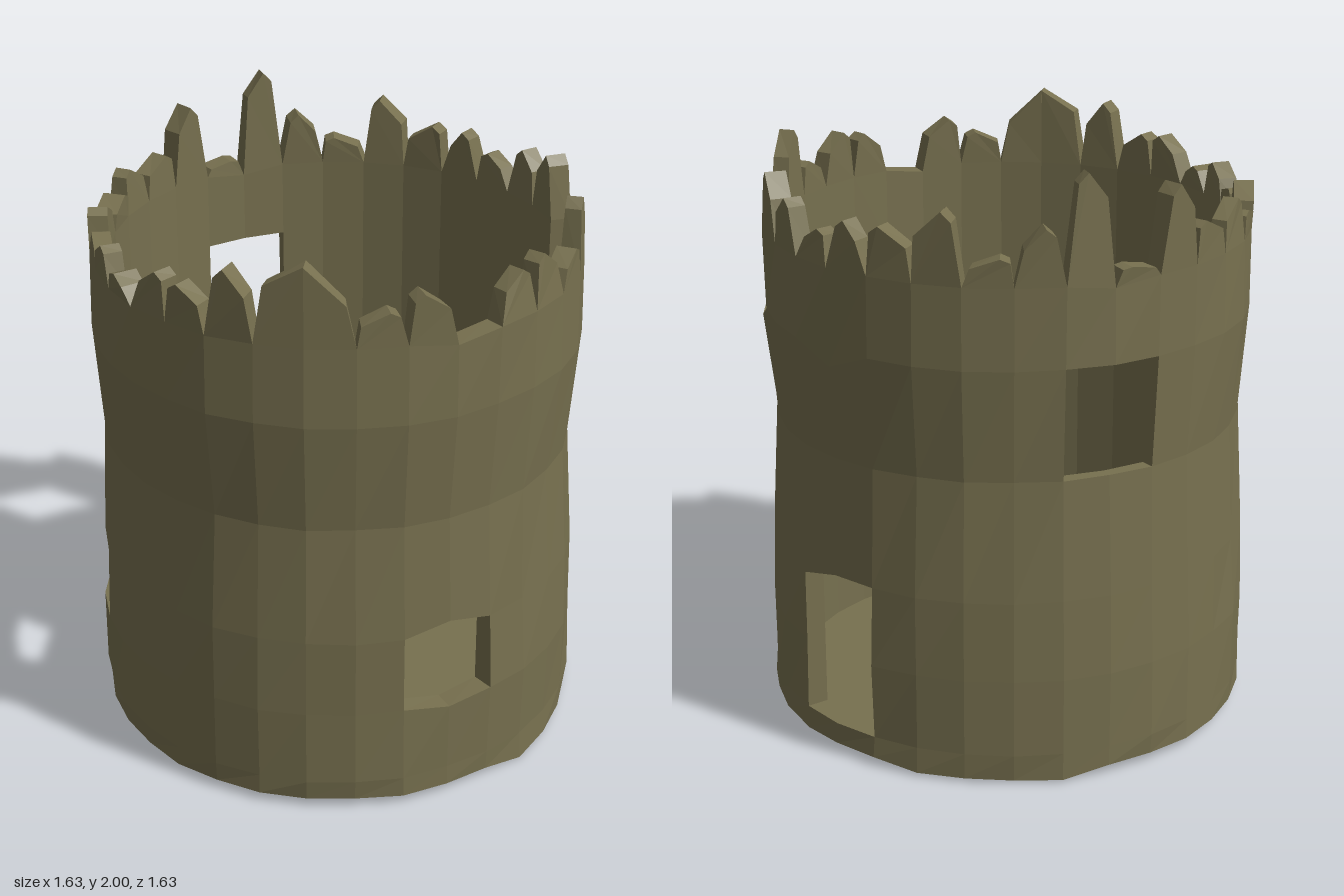
import * as THREE from 'three';

const SEG = 32, STEP = (Math.PI * 2) / SEG;
const ROW_Y = [0.03, 0.1, 0.36, 0.63, 1.03, 1.4, 1.66];
const ROW_R = [0.812, 0.812, 0.812, 0.804, 0.78, 0.808, 0.804];
const TOP = ROW_Y.length - 1;
const INNER = 0.738;

// Openings as [first column, column count, first row, end row]
const OPENINGS = [
  [31 - 1, 2, 2, 3],  // front window
  [8, 2, 1, 3],       // doorway
  [20, 2, 2, 3],      // low back window
  [14, 2, 4, 5],      // high back window
  [4, 2, 5, TOP],     // collapsed notch
];

// Worn corners of the masonry grid, keyed "column,row"
const WORN = {
  '31,2': 0.34, '31,3': 0.665, '8,3': 0.59, '8,2': 0.35, '5,5': 1.33, '9,5': 1.34,
  '1,0': 0.0, '2,0': 0.012, '3,0': 0.02, '4,0': 0.015, '5,0': 0.01, '6,0': 0.025, '7,0': 0.03,
  '8,0': 0.02, '11,0': 0.012, '12,0': 0.012, '13,0': 0.01, '14,0': 0.005,
  '31,6': 1.64, '15,6': 1.64,
};

// Battlement heights by column, starting at the front and going to the left side; 0 is missing
const TEETH = [
  1.81, 1.83, 1.77, 1.9, 0, 0, 1.87, 1.83,
  1.77, 1.82, 1.82, 1.89, 1.75, 1.84, 2.0, 1.7,
  1.93, 1.79, 1.81, 1.75, 1.79, 1.74, 1.78, 1.74,
  1.81, 1.8, 1.89, 1.92, 1.9, 1.77, 1.82, 0,
];

const wrap = (c) => ((c % SEG) + SEG) % SEG;
const noise = (a, b) => {
  const s = Math.sin(wrap(a) * 12.99 + b * 78.23) * 43758.55;
  return (s - Math.floor(s)) * 2 - 1;
};
const polar = (angle, r, y) => [Math.sin(angle) * r, y, Math.cos(angle) * r];

const isOpen = (c, r) =>
  OPENINGS.some(([c0, n, r0, r1]) => wrap(c - c0) < n && r >= r0 && r < r1);

// Outer and inner corner of the wall at a grid point
function corner(c, r) {
  c = wrap(c);
  const y = WORN[`${c},${r}`] ?? ROW_Y[r];
  const outer = ROW_R[r] + noise(c, r) * 0.006;
  return { o: polar(c * STEP, outer, y), i: polar(c * STEP, INNER, y) };
}

// Slab of wall from a counter-clockwise outline; edges[j] closes the side from corner j to j + 1
function slab(out, pts, edges) {
  const n = pts.length;
  const tri = (a, b, c) => out.push(...a, ...b, ...c);
  for (let j = 1; j < n - 1; j++) {
    tri(pts[0].o, pts[j].o, pts[j + 1].o);
    tri(pts[0].i, pts[j + 1].i, pts[j].i);
  }
  for (let j = 0; j < n; j++) {
    if (!edges[j]) continue;
    const a = pts[j], b = pts[(j + 1) % n];
    tri(b.o, a.o, a.i);
    tri(b.o, a.i, b.i);
  }
}

function toMesh(name, positions, material) {
  const geo = new THREE.BufferGeometry();
  geo.setAttribute('position', new THREE.Float32BufferAttribute(positions, 3));
  geo.computeVertexNormals();
  const mesh = new THREE.Mesh(geo, material);
  mesh.name = name;
  return mesh;
}

export function createModel() {
  const group = new THREE.Group();
  group.name = 'ruinedTower';
  const stone = new THREE.MeshStandardMaterial({ color: 0x77704f, flatShading: true });
  const floorStone = stone.clone();
  floorStone.side = THREE.DoubleSide;

  // Round wall with openings cut through its full thickness
  const wall = [];
  for (let c = 0; c < SEG; c++) {
    for (let r = 0; r < TOP; r++) {
      if (isOpen(c, r)) continue;
      slab(wall, [corner(c, r), corner(c + 1, r), corner(c + 1, r + 1), corner(c, r + 1)], [
        r === 0 || isOpen(c, r - 1),
        isOpen(c + 1, r),
        r === TOP - 1 ? !TEETH[c] : isOpen(c, r + 1),
        isOpen(c - 1, r),
      ]);
    }
  }
  group.add(toMesh('wall', wall, stone));

  // Broken battlement: one tapering, chipped tooth per column
  const teeth = [];
  TEETH.forEach((h, c) => {
    if (!h) return;
    const rise = h - ROW_Y[TOP];
    const at = (t, y) => ({
      o: polar((c + t) * STEP, 0.8 + noise(c, 9) * 0.012, y),
      i: polar((c + t) * STEP, INNER + noise(c, 10) * 0.008, y),
    });
    // Columns 27 and 28 are fused into one broad tooth
    const left = c === 28 ? 0 : 0.16 + noise(c, 11) * 0.1;
    const right = c === 27 ? 1 : 0.84 + noise(c, 12) * 0.1;
    const chip = Math.min(0.08, rise * 0.35);
    const broad = c === 27 || c === 28;
    const tipLeft = noise(c, 13) > 0;
    const top = broad
      ? [at(right, c === 27 ? 1.92 : 1.8), at(left, c === 28 ? 1.92 : 1.85)]
      : tipLeft
        ? [at(right, h - chip), at(left + 0.2, h), at(left, h - chip * 0.4)]
        : [at(right, h - chip * 0.4), at(right - 0.2, h), at(left, h - chip)];
    slab(teeth, [corner(c, TOP), corner(c + 1, TOP), ...top], [false, true, true, true, true]);
  });
  group.add(toMesh('battlement', teeth, stone));

  // Floor disc closing the base
  const floor = new THREE.Mesh(new THREE.CircleGeometry(0.79, SEG), floorStone);
  floor.name = 'floor';
  floor.rotation.x = -Math.PI / 2;
  floor.position.y = 0.032;
  group.add(floor);

  return group;
}
